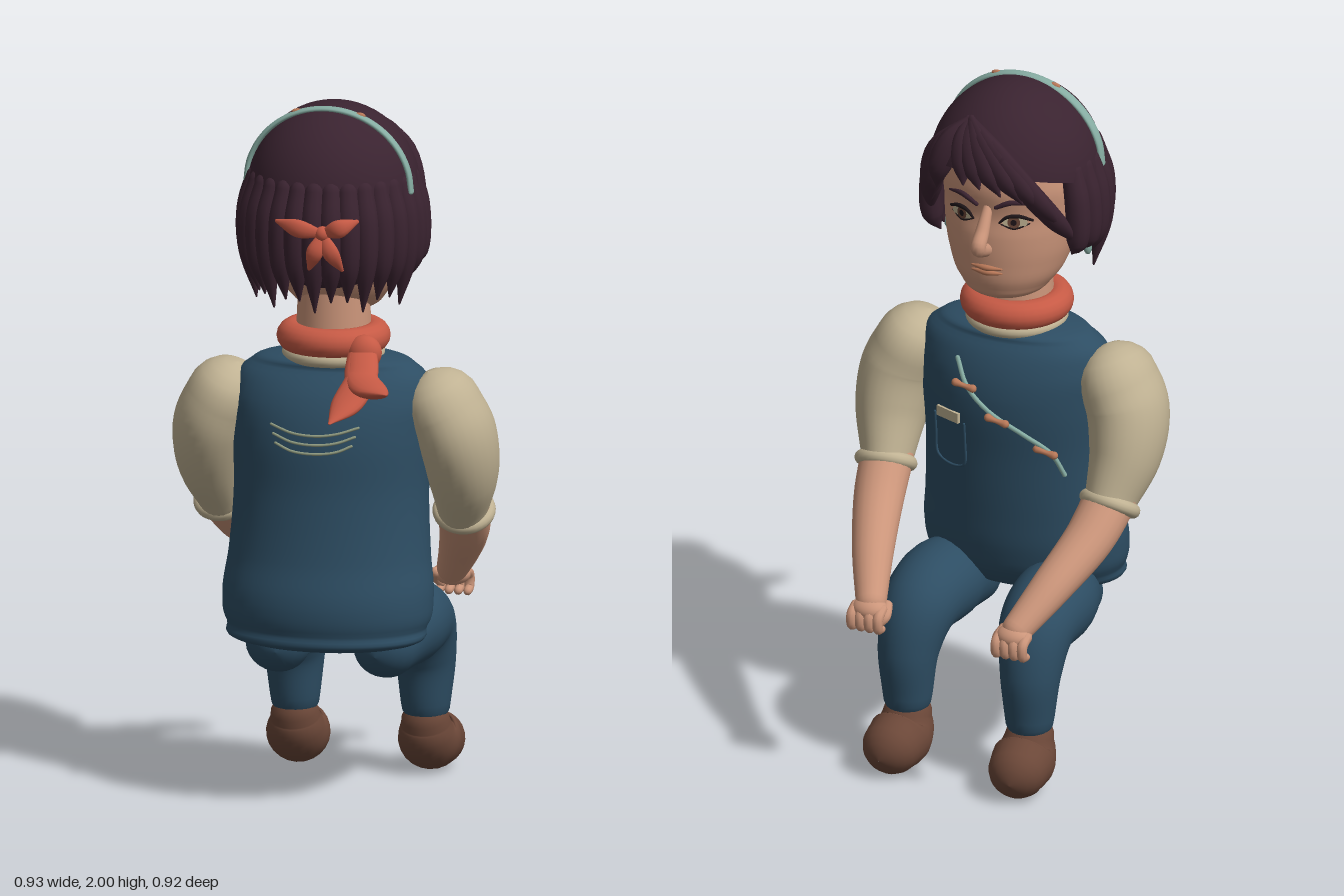
import * as THREE from 'three';

const mat = (name, color) => {
  const m = new THREE.MeshStandardMaterial({ color });
  m.name = name;
  return m;
};
const V = (p) => new THREE.Vector3(...p);

// Closed smooth surface from equal rings of points
function skinRings(rings) {
  const n = rings[0].length, pos = [], idx = [];
  rings.forEach((r) => r.forEach((p) => pos.push(p.x, p.y, p.z)));
  for (let i = 0; i < rings.length - 1; i++) {
    for (let j = 0; j < n; j++) {
      const a = i * n + j, b = i * n + ((j + 1) % n);
      idx.push(a, a + n, b, b, a + n, b + n);
    }
  }
  const g = new THREE.BufferGeometry();
  g.setAttribute('position', new THREE.Float32BufferAttribute(pos, 3));
  g.setIndex(idx);
  g.computeVertexNormals();
  return g;
}

// Round-ended sweep with varying radius; w and h scale the section along ref and across it
function sweep(pts, radii, { ref = [1, 0, 0], w = 1, h = 1, sides = 16, steps = 6 } = {}) {
  const curve = new THREE.CatmullRomCurve3(pts.map(V));
  const rad = new THREE.CubicInterpolant(radii.map((_, i) => i), radii, 1);
  const n = (pts.length - 1) * steps, rings = [];
  const ring = (t, k, push) => {
    const c = curve.getPoint(t), d = curve.getTangent(t), u = V(ref);
    u.addScaledVector(d, -u.dot(d)).normalize();
    const v = u.clone().cross(d);
    const r = Math.max(0.002, rad.evaluate(t * (radii.length - 1))[0]);
    c.addScaledVector(d, push * r * Math.min(w, h));
    rings.push(Array.from({ length: sides }, (_, j) => {
      const a = (j / sides) * Math.PI * 2;
      return c.clone().addScaledVector(u, Math.cos(a) * r * k * w).addScaledVector(v, Math.sin(a) * r * k * h);
    }));
  };
  for (let i = 5; i > 0; i--) ring(0, Math.cos(i * 0.313), -Math.sin(i * 0.313));
  for (let i = 0; i <= n; i++) ring(i / n, 1, 0);
  for (let i = 1; i <= 5; i++) ring(1, Math.cos(i * 0.313), Math.sin(i * 0.313));
  return skinRings(rings);
}

// Elliptical body from rows of [y, half width, z at face side, z at back]
function body(rows) {
  const f = new THREE.CubicInterpolant(rows.map((r) => r[0]), rows.flatMap((r) => r.slice(1)), 3);
  const at = (y) => { const [hx, a, b] = f.evaluate(y); return { hx, zc: (a + b) / 2, hz: (b - a) / 2 }; };
  const rings = [];
  for (let i = 0; i < rows.length - 1; i++) {
    for (let k = 0; k < 6 + (i === rows.length - 2); k++) {
      const y = rows[i][0] + ((rows[i + 1][0] - rows[i][0]) * k) / 6, { hx, zc, hz } = at(y);
      rings.push(Array.from({ length: 40 }, (_, j) => {
        const a = (j / 40) * Math.PI * 2;
        return new THREE.Vector3(hx * Math.cos(a), y, zc + hz * Math.sin(a));
      }));
    }
  }
  const surf = (x, y, side, off = 0) => {
    const { hx, zc, hz } = at(y);
    return [x, y, zc + side * (hz * Math.sqrt(Math.max(0, 1 - (x / hx) ** 2)) + off)];
  };
  return { geo: skinRings(rings), surf };
}

export function createModel() {
  const M = {
    skin: mat('skin', 0xcb957a), hair: mat('hair', 0x3a2330), teal: mat('teal', 0x86aca2),
    red: mat('scarf red', 0xc65a45), blue: mat('vest blue', 0x2d4d63), cream: mat('shirt cream', 0xc0b293),
    brown: mat('shoe brown', 0x6b4738), dark: mat('eye dark', 0x1d1518), copper: mat('copper', 0xb87858),
    stitch: mat('stitch', 0x8f9a80),
  };
  const root = new THREE.Group();
  const add = (name, geo, m, p = [0, 0, 0], s = [1, 1, 1]) => {
    const mesh = new THREE.Mesh(geo, m);
    mesh.name = name;
    mesh.position.set(...p);
    mesh.scale.set(...s);
    root.add(mesh);
    return mesh;
  };
  const ball = (name, m, p, s) => add(name, new THREE.SphereGeometry(1, 24, 16), m, p, s);

  // Vest and neck
  const torso = body([[0.45, 0.05, 0.1, 0.2], [0.47, 0.23, 0.03, 0.33], [0.52, 0.285, -0.03, 0.362], [0.6, 0.3, -0.06, 0.37],
    [0.72, 0.287, -0.075, 0.342], [0.9, 0.277, -0.09, 0.315], [1.08, 0.285, -0.103, 0.3], [1.18, 0.283, -0.085, 0.265],
    [1.25, 0.24, -0.05, 0.215], [1.28, 0.16, -0.02, 0.185], [1.29, 0.05, 0.05, 0.11]]);
  add('vest', torso.geo, M.blue);
  add('neck', new THREE.CylinderGeometry(0.1, 0.11, 0.22, 28), M.skin, [0, 1.36, 0.085]);
  const ringAt = (name, r, t, m, y) => { add(name, new THREE.TorusGeometry(r, t, 16, 40), m, [0, y, 0.088]).rotation.x = Math.PI / 2; };
  ringAt('shirtCollar', 0.125, 0.02, M.cream, 1.282);
  ringAt('scarfCollar', 0.118, 0.042, M.red, 1.33);

  // Scarf knot and two tails
  ball('scarfKnot', M.red, [0.115, 1.31, 0.2], [0.05, 0.05, 0.04]);
  for (const tip of [[0.075, 1.16, 0.455], [0.238, 1.252, 0.455]]) {
    add('scarfTail', sweep([[0.11, 1.32, 0.2], [0.13, 1.26, 0.3], [(0.13 + tip[0]) / 2, tip[1] / 2 + 0.615, 0.38], tip],
      [0.04, 0.046, 0.044, 0.004], { w: 1, h: 0.45 }), M.red);
  }

  // Seams lying on the vest
  const seam = (name, pts, side, r, m) => add(name, sweep(pts.map(([x, y]) => torso.surf(x, y, side, 0.002)),
    pts.map(() => r), { ref: [0, 0, 1], sides: 8 }), m);
  for (let i = 0; i < 3; i++) {
    const y = 1.035 + i * 0.025, e = 0.1 + i * 0.008;
    seam('backStitch', [[-e - 0.02, y + 0.022], [-0.07, y + 0.004], [0, y], [0.06, y + 0.008], [e, y + 0.025]], 1, 0.004, M.stitch);
  }
  seam('chestCord', [[0.11, 1.19], [0.07, 1.12], [0, 1.06], [-0.1, 1.0], [-0.17, 0.94], [-0.2, 0.87]], -1, 0.007, M.teal);
  for (const [x, y] of [[0.075, 1.125], [-0.03, 1.04], [-0.16, 0.95]]) {
    const [, , z] = torso.surf(x, y, -1, 0.014);
    add('toggle', sweep([[x + 0.025, y + 0.006, z], [x, y, z], [x - 0.025, y - 0.006, z + 0.004]], [0.012, 0.007, 0.012],
      { ref: [0, 0, 1], sides: 10 }), M.copper);
  }
  seam('pocketSeam', [[0.08, 1.0], [0.08, 0.94], [0.085, 0.87], [0.13, 0.855], [0.185, 0.87], [0.19, 0.94], [0.19, 1.0]], -1, 0.004, M.blue);
  add('pocketLabel', new THREE.BoxGeometry(0.085, 0.03, 0.009), M.cream, torso.surf(0.135, 1.015, -1, 0.003)).rotation.y = -0.38;

  // Head, nose and lips
  const head = body([[1.385, 0.02, -0.02, 0.04], [1.4, 0.085, -0.075, 0.1], [1.44, 0.135, -0.107, 0.16], [1.52, 0.175, -0.12, 0.22],
    [1.6, 0.193, -0.12, 0.25], [1.66, 0.2, -0.112, 0.26], [1.75, 0.2, -0.122, 0.26], [1.85, 0.16, -0.09, 0.22], [1.92, 0.05, 0, 0.12]]);
  add('head', head.geo, M.skin);
  add('nose', sweep([[0, 1.69, -0.108], [0, 1.63, -0.145], [0, 1.592, -0.172], [0, 1.567, -0.125]], [0.014, 0.02, 0.022, 0.02]), M.skin);
  for (const y of [1.496, 1.51]) {
    add('lip', sweep([-0.045, 0, 0.045].map((x) => head.surf(x, y, -1, 0.001)), [0.003, 0.009, 0.003], { ref: [0, 1, 0] }), M.copper);
  }

  for (const s of [-1, 1]) {
    // Eyes, brows, ears
    const face = (name, pts, radii, m, off) => add(name,
      sweep(pts.map(([x, y]) => head.surf(s * x, y, -1, off)), radii, { ref: [0, 1, 0], sides: 8 }), m);
    const disc = (name, m, r, x, y, off, sy = 1) => {
      add(name, new THREE.CircleGeometry(r, 24), m, head.surf(s * x, y, -1, off), [1, sy, 1]).rotation.y = Math.PI - 0.38 * s;
    };
    disc('eyeWhite', M.cream, 0.036, 0.082, 1.658, 0.008, 0.5);
    disc('iris', M.brown, 0.018, 0.08, 1.659, 0.011);
    disc('pupil', M.dark, 0.009, 0.08, 1.659, 0.013);
    face('upperLid', [[0.04, 1.654], [0.06, 1.673], [0.09, 1.678], [0.125, 1.664]], [0.003, 0.005, 0.006, 0.004], M.dark, 0.009);
    face('lowerLid', [[0.045, 1.65], [0.08, 1.639], [0.118, 1.653]], [0.002, 0.003, 0.002], M.dark, 0.008);
    face('eyebrow', [[0.03, 1.7], [0.075, 1.72], [0.13, 1.71]], [0.006, 0.008, 0.003], M.hair, 0.003);
    ball('ear', M.skin, [s * 0.2, 1.6, 0.1], [0.022, 0.055, 0.035]);
    ball('earring', M.teal, [s * 0.215, 1.525, 0.095], [0.012, 0.022, 0.012]);

    // Arm: sleeve, cuff, forearm, fist
    add('sleeve', sweep([[s * 0.315, 1.14, 0.085], [s * 0.348, 1.06, 0.075], [s * 0.36, 0.95, 0.035], [s * 0.345, 0.83, -0.03]],
      [0.13, 0.136, 0.122, 0.088], { w: 0.83, sides: 28 }), M.cream);
    const cuff = add('cuff', new THREE.TorusGeometry(0.068, 0.021, 14, 32), M.cream, [s * 0.345, 0.815, -0.04]);
    cuff.quaternion.setFromUnitVectors(V([0, 0, 1]), V([-0.1 * s, -0.84, -0.54]).normalize());
    add('forearm', sweep([[s * 0.345, 0.83, -0.03], [s * 0.325, 0.745, -0.13], [s * 0.275, 0.645, -0.28], [s * 0.225, 0.556, -0.4]],
      [0.072, 0.068, 0.056, 0.042], { sides: 20, w: 1.05 }), M.skin);
    ball('palm', M.skin, [s * 0.222, 0.54, -0.415], [0.053, 0.034, 0.043]);
    for (let i = 0; i < 4; i++) {
      const x = s * (0.182 + i * 0.027);
      add('finger', sweep([[x, 0.545, -0.42], [x, 0.528, -0.448], [x, 0.495, -0.447], [x, 0.487, -0.425]],
        [0.015, 0.015, 0.014, 0.012], { sides: 10 }), M.skin);
    }
    add('thumb', sweep([[s * 0.18, 0.545, -0.39], [s * 0.172, 0.525, -0.42], [s * 0.185, 0.505, -0.435]], [0.016, 0.015, 0.012],
      { sides: 10 }), M.skin);

    // Bent leg and shoe
    add('leg', sweep([[s * 0.155, 0.45, 0.1], [s * 0.172, 0.478, -0.03], [s * 0.18, 0.455, -0.17], [s * 0.188, 0.35, -0.228],
      [s * 0.188, 0.21, -0.236]], [0.095, 0.12, 0.108, 0.088, 0.07], { sides: 28, steps: 8 }), M.blue);
    add('shoe', sweep([[s * 0.188, 0.15, -0.235], [s * 0.188, 0.115, -0.25], [s * 0.19, 0.095, -0.28], [s * 0.194, 0.085, -0.325]],
      [0.068, 0.08, 0.088, 0.082], { sides: 24, w: 1.03 }), M.brown);
  }

  // Hair cap, tilted so the forehead stays bare
  const cap = new THREE.SphereGeometry(1, 48, 24, 0, Math.PI * 2, 0, Math.PI * 0.5);
  cap.rotateX(0.28);
  const capMat = M.hair.clone();
  capMat.side = THREE.DoubleSide;
  add('hairCap', cap, capMat, [0, 1.74, 0.085], [0.245, 0.26, 0.25]);
  ball('backHair', M.hair, [0, 1.67, 0.15], [0.225, 0.19, 0.18]);

  // Hanging locks around the sides and back
  for (let i = -9; i <= 9; i++) {
    const a = i * 0.212, c = Math.cos(a), sn = Math.sin(a);
    const tip = 1.445 + 0.03 * ((i * i) % 3) + 0.09 * Math.max(0, Math.abs(i) - 6) / 3;
    const p = (r, y) => [sn * r, y, 0.09 + c * r * 1.04];
    add('hairLock', sweep([p(0.215, 1.79), p(0.236, 1.7), p(0.236, 1.58), p(0.215, tip)], [0.03, 0.036, 0.031, 0.003], { sides: 12 }), M.hair);
  }

  // Fringe swept from a side parting
  const ends = [[-0.225, 1.58, 0.0], [-0.205, 1.65, -0.06], [-0.17, 1.7, -0.1], [-0.12, 1.735, -0.135], [-0.06, 1.755, -0.155],
    [0, 1.77, -0.165], [0.05, 1.775, -0.165], [0.16, 1.72, -0.1], [0.195, 1.66, -0.065], [0.22, 1.6, -0.01]];
  for (const e of ends) {
    const start = [0.075, 1.925, -0.06];
    const onCap = (t, k) => {
      const d = V(start).lerp(V(e), t).sub(V([0, 1.74, 0.085])).divide(V([0.245, 0.26, 0.25])).normalize();
      return d.multiply(V([0.245, 0.26, 0.25])).multiplyScalar(k).add(V([0, 1.74, 0.085])).toArray();
    };
    add('fringeLock', sweep([onCap(0, 0.96), onCap(0.35, 0.99), onCap(0.7, 1.0), e], [0.02, 0.036, 0.032, 0.003],
      { ref: [0.1, 0.3, 1], w: 0.7, sides: 12 }), M.hair);
  }

  // Headband with two small beads
  const arc = Array.from({ length: 13 }, (_, i) => {
    const a = (i / 12) * Math.PI;
    return [0.24 * Math.cos(a), 1.77 + 0.222 * Math.sin(a), 0.148 + 0.013 * Math.cos(a)];
  });
  add('headband', sweep(arc, arc.map(() => 0.016), { ref: [0, 0, 1], h: 0.5, steps: 4 }), M.teal);
  for (const s of [-1, 1]) ball('headbandBead', M.copper, [s * 0.09, 1.978, 0.148 + s * 0.005], [0.018, 0.01, 0.008]);

  // Bow at the back of the head
  ball('bowKnot', M.red, [0.035, 1.685, 0.368], [0.022, 0.022, 0.02]);
  for (const [tip, r] of [[[-0.1, 1.715, 0.365], 0.026], [[0.135, 1.725, 0.36], 0.026], [[-0.005, 1.58, 0.365], 0.024], [[0.09, 1.58, 0.36], 0.024]]) {
    const mid = [(0.035 + tip[0]) / 2, (1.685 + tip[1]) / 2, 0.382];
    add('bowLoop', sweep([[0.035, 1.685, 0.368], mid, tip], [0.01, r, 0.005], { ref: [0, 0, 1], w: 0.55, sides: 12 }), M.red);
  }
  return root;
}
